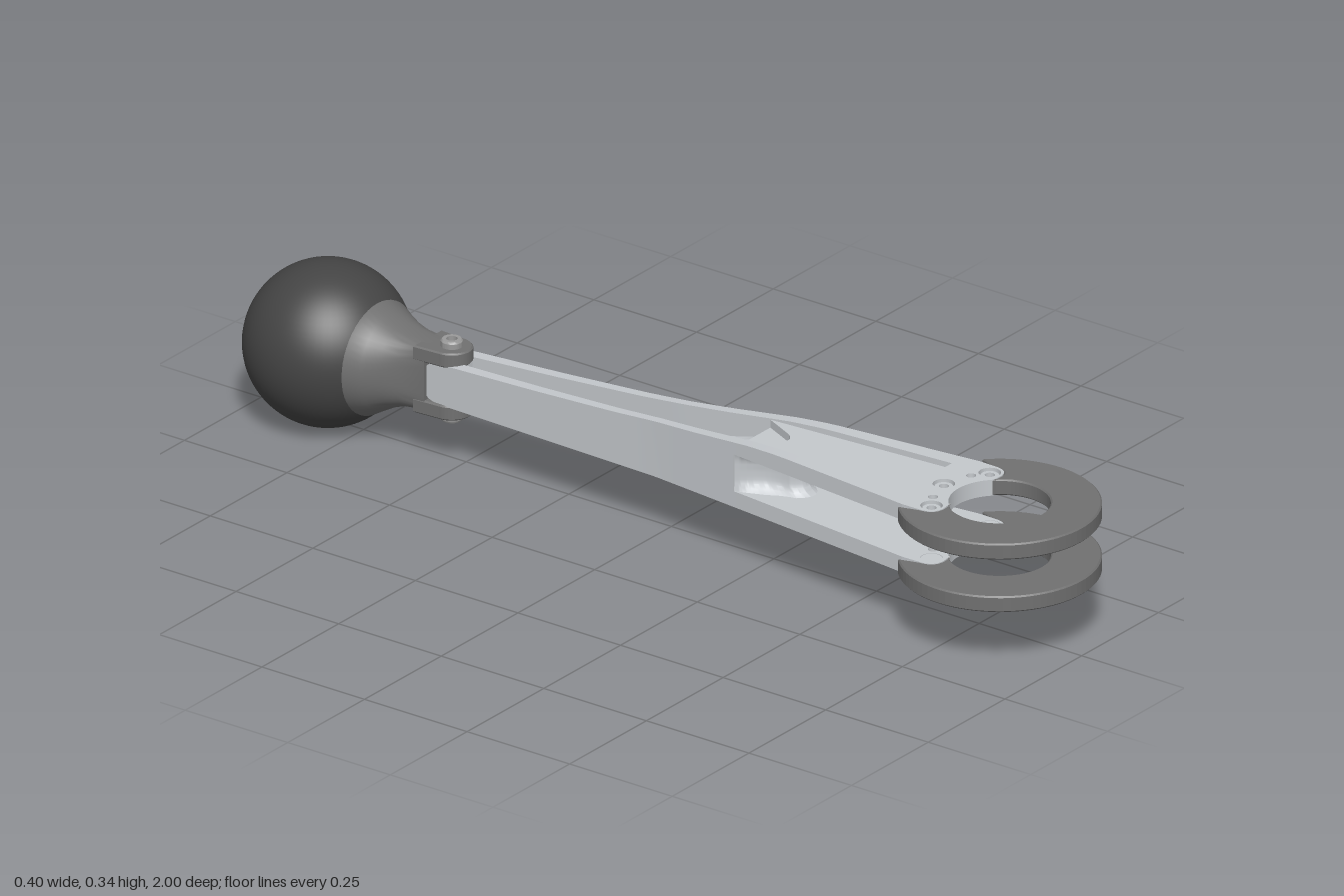
import * as THREE from 'three';
import { mergeVertices, toCreasedNormals } from 'three/addons/utils/BufferGeometryUtils.js';

const mat = (c) => new THREE.MeshStandardMaterial({ color: c });
const METAL = mat(0xc4c8cc), GREY = mat(0x707070), DARK = mat(0x444444), STEEL = mat(0x999999);

// Linear lookup in a list of [z, value]
function at(table, z) {
  for (let i = 1; i < table.length; i++) {
    const [a, u] = table[i - 1], [b, v] = table[i];
    if (z <= b) return u + (v - u) * Math.max(0, (z - a) / (b - a));
  }
  return table[table.length - 1][1];
}
const outer = (z) => at([[-0.57, 0.043], [0, 0.058], [0.25, 0.083], [0.65, 0.124]], z);
const inner = (z) => at([[-0.5, 0.02], [0, 0.039], [0.2, 0.055], [0.62, 0.085]], z);
const topY = (z) => at([[-0.57, 0.215], [-0.3, 0.228], [-0.1, 0.24], [0.1, 0.257], [0.25, 0.273], [0.33, 0.277]], z);
const zRange = (a, b, n) => Array.from({ length: n + 1 }, (_, i) => a + (b - a) * i / n);

// Closed skin through rings of points, ordered by rising z
function loft(rings, crease = 0.5) {
  const pos = [], n = rings[0].length, tri = (...p) => p.forEach((v) => pos.push(...v));
  for (let k = 1; k < rings.length; k++) {
    const a = rings[k - 1], b = rings[k];
    for (let i = 0; i < n; i++) {
      const j = (i + 1) % n;
      tri(a[i], a[j], b[j]);
      tri(a[i], b[j], b[i]);
    }
  }
  const first = rings[0], last = rings[rings.length - 1];
  for (let i = 1; i < n - 1; i++) {
    tri(last[0], last[i], last[i + 1]);
    tri(first[0], first[i + 1], first[i]);
  }
  const g = new THREE.BufferGeometry();
  g.setAttribute('position', new THREE.Float32BufferAttribute(pos, 3));
  return toCreasedNormals(mergeVertices(g), crease);
}
const rect = (z, x0, x1, y0, y1) => [[x0, y0, z], [x1, y0, z], [x1, y1, z], [x0, y1, z]];

// Plan outline (x, z) extruded between two heights
function slab(shape, y0, y1, bevel = 0, steps = 1) {
  const g = new THREE.ExtrudeGeometry(shape, {
    depth: y1 - y0 - 2 * bevel, steps, curveSegments: 32, bevelEnabled: bevel > 0,
    bevelThickness: bevel, bevelSize: bevel, bevelOffset: -bevel, bevelSegments: 1,
  });
  return g.rotateX(Math.PI / 2).translate(0, y1 - bevel, 0);
}
const circle = (x, z, r) => new THREE.Path().absarc(x, z, r, 0, Math.PI * 2, true);

function add(parent, name, geometry, material) {
  const m = new THREE.Mesh(geometry, material);
  m.name = name;
  parent.add(m);
  return m;
}

// Upper fork tip: floor of the pocket, end pad, screws and open ring
function forkTip() {
  const g = new THREE.Group();
  add(g, 'pocketBase', loft([0.2, 0.62].map((z) => rect(z, -inner(z), inner(z), 0.243, 0.248))), METAL);

  const floor = new THREE.Shape();
  floor.moveTo(0.055, 0.2).lineTo(0.086, 0.63).lineTo(-0.086, 0.63).lineTo(-0.055, 0.2);
  floor.lineTo(-0.022, 0.27).quadraticCurveTo(0, 0.3, 0.022, 0.27);
  add(g, 'pocketFloor', slab(floor, 0.247, 0.265), METAL);

  // pad and ring meet along the same stepped edge
  const a = Math.atan2(-0.07, 0.07), pad = new THREE.Shape();
  pad.moveTo(0.121, 0.62).lineTo(0.125, 0.655).lineTo(0.124, 0.7);
  pad.quadraticCurveTo(0.122, 0.742, 0.0707, 0.7293);
  pad.absarc(0, 0.8, 0.1, a, -Math.PI - a, true);
  pad.quadraticCurveTo(-0.122, 0.742, -0.124, 0.7);
  pad.lineTo(-0.125, 0.655).lineTo(-0.121, 0.62);
  const screws = [[0, 0.664], [0.095, 0.705], [-0.095, 0.705]];
  screws.forEach(([x, z]) => pad.holes.push(circle(x, z, 0.022)));
  [-0.062, 0.062].forEach((x) => pad.holes.push(circle(x, 0.684, 0.01)));
  add(g, 'endPad', slab(pad, 0.243, 0.277), METAL);

  const e = Math.atan2(-0.145, 0.1378), ring = new THREE.Shape();
  ring.absarc(0, 0.8, 0.2, e, Math.PI - e, false);
  ring.lineTo(-0.124, 0.7).quadraticCurveTo(-0.122, 0.742, -0.0707, 0.7293);
  ring.absarc(0, 0.8, 0.1, Math.PI - a, a, true);
  ring.quadraticCurveTo(0.122, 0.742, 0.124, 0.7);
  add(g, 'openRing', slab(ring, 0.243, 0.277, 0.003), GREY);

  // countersunk screws with a socket
  const profile = [[0, 0.244], [0.022, 0.244], [0.022, 0.266], [0.018, 0.272], [0.01, 0.272], [0.01, 0.258], [0, 0.258]]
    .map(([r, y]) => new THREE.Vector2(r, y));
  const screw = toCreasedNormals(new THREE.LatheGeometry(profile, 24), 0.5);
  screws.forEach(([x, z]) => add(g, 'screw', screw, METAL).position.set(x, 0, z));
  return g;
}

export function createModel() {
  const model = new THREE.Group();
  model.name = 'leverArm';
  const arm = new THREE.Group();
  arm.name = 'arm';
  model.add(arm);

  // Side walls, splitting into upper and lower fork rails
  for (const s of [-1, 1]) {
    const wall = (z, y0, y1) => {
      const x = [s * inner(z), s * outer(z)].sort((p, q) => p - q);
      return rect(z, x[0], x[1], y0, y1);
    };
    add(arm, 'sideWall', loft(zRange(-0.5, 0.21, 14).map((z) => wall(z, 0.13, topY(z)))), METAL);
    const zs = zRange(0.21, 0.625, 12);
    add(arm, 'upperRail', loft(zs.map((z) => wall(z, 0.243, topY(z)))), METAL);
    add(arm, 'lowerRail', loft(zs.map((z) => wall(z, 0.13, 0.164))), METAL);
  }

  // Web between the deep grooves, and the solid rear end
  const webTop = (z) => at([[-0.5, 0.188], [0.1, 0.205], [0.19, 0.225], [0.215, 0.244]], z);
  const webLow = (z) => at([[-0.5, 0.158], [0.1, 0.175], [0.19, 0.17], [0.215, 0.163]], z);
  add(arm, 'web', loft(zRange(-0.51, 0.215, 20).map((z) => rect(z, -inner(z), inner(z), webLow(z), webTop(z)))), METAL);
  add(arm, 'rearEnd', loft([[-0.575, 0.02], [-0.56, 0.006], [-0.54, 0], [-0.5, 0]]
    .map(([z, d]) => rect(z, -outer(z), outer(z), 0.13 + d, topY(z) - d))), METAL);

  // Scooped nose at the root of the fork, flaring into both plates
  const nose = new THREE.Shape();
  nose.moveTo(-0.078, 0.205).lineTo(0.078, 0.205);
  nose.bezierCurveTo(0.06, 0.235, 0.035, 0.25, 0.025, 0.31);
  nose.quadraticCurveTo(0, 0.35, -0.025, 0.31);
  nose.bezierCurveTo(-0.035, 0.25, -0.06, 0.235, -0.078, 0.205);
  const noseGeo = slab(nose, 0.163, 0.244, 0, 10), p = noseGeo.attributes.position;
  for (let i = 0; i < p.count; i++) {
    const f = Math.abs((p.getY(i) - 0.2035) / 0.0405) ** 4, z = p.getZ(i);
    const k = Math.min(1, (z - 0.205) / 0.05);
    p.setX(i, p.getX(i) * (1 + 0.3 * f * k));
    p.setZ(i, z + 0.02 * f * k);
  }
  add(arm, 'forkRoot', toCreasedNormals(noseGeo, 0.6), METAL);

  // Fork tips, the lower one mirrored
  const upper = forkTip(), lower = forkTip();
  upper.name = 'upperForkTip';
  lower.name = 'lowerForkTip';
  lower.scale.y = -1;
  lower.position.y = 0.407;
  model.add(upper, lower);

  // Ball knob with its collar, lugs and pivot bolt
  const knob = new THREE.Group();
  knob.name = 'knob';
  knob.position.x = -0.007;
  model.add(knob);
  add(knob, 'ball', new THREE.SphereGeometry(0.168, 64, 40).translate(0, 0.168, -0.832), DARK);

  const sections = [[-0.735, 0.116, 0.116, 0.168, 2], [-0.708, 0.117, 0.117, 0.168, 2], [-0.68, 0.098, 0.101, 0.169, 2.1],
    [-0.65, 0.078, 0.086, 0.171, 2.4], [-0.62, 0.06, 0.076, 0.173, 3], [-0.59, 0.047, 0.073, 0.173, 4], [-0.565, 0.044, 0.072, 0.173, 5]];
  const pow = (v, e) => Math.sign(v) * Math.abs(v) ** (2 / e);
  add(knob, 'collar', loft(sections.map(([z, w, h, y, e]) => Array.from({ length: 48 }, (_, i) => {
    const t = i / 48 * Math.PI * 2;
    return [w * pow(Math.cos(t), e), y + h * pow(Math.sin(t), e), z];
  })), 0.7), GREY);

  const lug = new THREE.Shape();
  lug.moveTo(-0.046, -0.59).lineTo(0.046, -0.59).lineTo(0.042, -0.53);
  lug.absarc(0, -0.53, 0.042, 0, Math.PI, false);
  add(knob, 'upperLug', slab(lug, 0.214, 0.245, 0.003), GREY);
  add(knob, 'lowerLug', slab(lug, 0.101, 0.132, 0.003), GREY);

  const bolt = [[0, 0.086], [0.02, 0.086], [0.022, 0.09], [0.022, 0.256], [0.019, 0.26], [0.011, 0.26], [0.011, 0.25], [0, 0.25]]
    .map(([r, y]) => new THREE.Vector2(r, y));
  add(knob, 'pivotBolt', toCreasedNormals(new THREE.LatheGeometry(bolt, 24), 0.5), STEEL).position.z = -0.53;
  return model;
}
